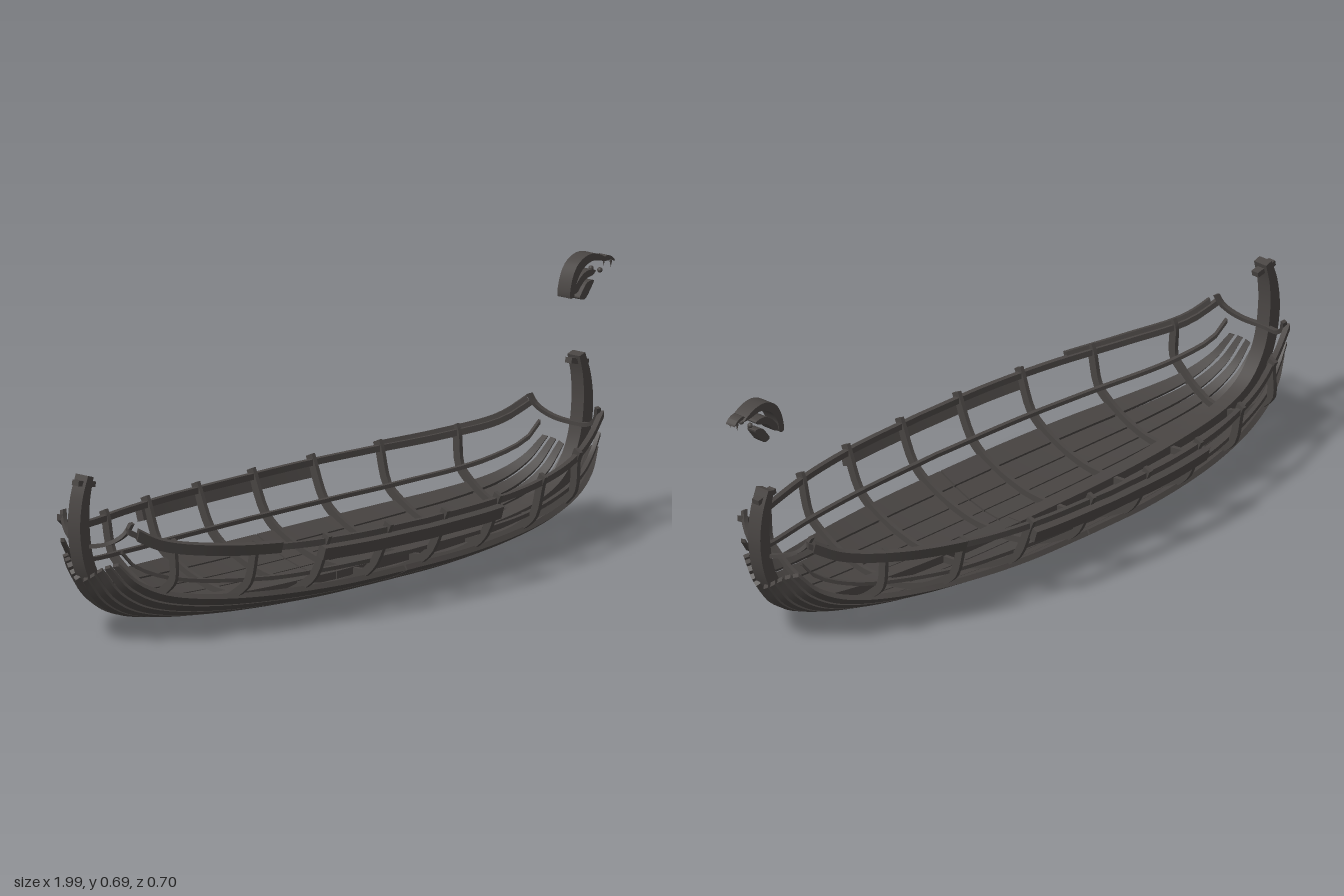
import * as THREE from 'three';
import { toCreasedNormals } from 'three/addons/utils/BufferGeometryUtils.js';

const V = (x, y, z) => new THREE.Vector3(x, y, z);
const CX = -0.04; // midship position
const wood = new THREE.MeshStandardMaterial({ color: 0x484442 });
wood.name = 'darkWood';

const curve = (pts) => new THREE.CatmullRomCurve3(pts.map((p) => V(...p)), false, 'centripetal');

// point of a curve at a given first coordinate
function atX(c, x) {
  let lo = 0, hi = 1;
  for (let i = 0; i < 30; i++) {
    const m = (lo + hi) / 2;
    if (c.getPoint(m).x < x) lo = m; else hi = m;
  }
  return c.getPoint(lo);
}

// rectangular beam along points; side(i) is the half-width vector, thick(i) the half thickness
function beam(pts, side, thick) {
  const secs = pts.map((p, i) => {
    const T = pts[Math.min(i + 1, pts.length - 1)].clone().sub(pts[Math.max(i - 1, 0)]);
    const S = side(i);
    const N = T.cross(S).normalize().multiplyScalar(thick(i));
    return [[-1, -1], [1, -1], [1, 1], [-1, 1]].map(([a, b]) =>
      p.clone().addScaledVector(S, a).addScaledVector(N, b));
  });
  const out = [];
  const quad = (a, b, c, d) => [a, b, c, a, c, d].forEach((v) => out.push(v.x, v.y, v.z));
  for (let i = 0; i < secs.length - 1; i++)
    for (let k = 0; k < 4; k++) {
      const n = (k + 1) % 4;
      quad(secs[i][k], secs[i][n], secs[i + 1][n], secs[i + 1][k]);
    }
  const [a, b, c, d] = secs[0];
  quad(d, c, b, a);
  quad(...secs[secs.length - 1]);
  const g = new THREE.BufferGeometry();
  g.setAttribute('position', new THREE.Float32BufferAttribute(out, 3));
  return toCreasedNormals(g, 0.6);
}

// hull rule: table values per plank row, blended from midship to the tip
const ROW = {
  midZ: [0.028, 0.08, 0.13, 0.18, 0.232],
  midY: [0.01, 0.014, 0.026, 0.043, 0.07],
  tipZ: [0.015, 0.033, 0.05, 0.068, 0.085],
  tipY: [0.175, 0.185, 0.2, 0.21, 0.215],
  tipX: [0.925, 0.92, 0.912, 0.902, 0.89],
};
const blend = curve([[0, 0, 1], [0.25, 0.01, 0.975], [0.5, 0.07, 0.83], [0.7, 0.17, 0.6],
  [0.85, 0.34, 0.35], [0.94, 0.6, 0.17], [1, 1, 0]]);
function row(name, v) {
  const a = ROW[name], i = Math.max(0, Math.min(3, Math.floor(v)));
  return a[i] + (a[i + 1] - a[i]) * (v - i);
}
function hull(v, b) {
  const mix = (m, t, f) => row(m, v) + (row(t, v) - row(m, v)) * f;
  return V(row('tipX', v) * b.x, mix('midY', 'tipY', b.y), mix('tipZ', 'midZ', b.z));
}

// half curves of the rails and the keel: distance from midship, height, half breadth
const railCurve = curve([[0, 0.215, 0.325], [0.25, 0.217, 0.315], [0.45, 0.222, 0.283],
  [0.65, 0.235, 0.22], [0.8, 0.262, 0.15], [0.88, 0.305, 0.115]]);
const stringerCurve = curve([[0, 0.127, 0.268], [0.3, 0.13, 0.255], [0.5, 0.137, 0.228],
  [0.75, 0.168, 0.155], [0.85, 0.21, 0.112], [0.885, 0.25, 0.1]]);
const keelCurve = curve([[0.002, 0.018, 0], [0.3, 0.023, 0], [0.56, 0.04, 0], [0.76, 0.073, 0],
  [0.855, 0.12, 0], [0.912, 0.2, 0], [0.934, 0.3, 0], [0.929, 0.38, 0], [0.912, 0.437, 0]]);

// stretch of a rail between two x positions on one side
function along(c, x0, x1, sz, n, dy = 0, dz = 0) {
  return Array.from({ length: n + 1 }, (_, i) => {
    const x = x0 + ((x1 - x0) * i) / n;
    const p = atX(c, Math.abs(x - CX));
    return V(x, p.y + dy, sz * (p.z + dz));
  });
}

export function createModel() {
  const model = new THREE.Group();
  model.name = 'shipFrame';
  const add = (name, geo, parent = model) => {
    const m = new THREE.Mesh(geo, wood);
    m.name = name;
    parent.add(m);
    return m;
  };

  for (const sx of [-1, 1]) {
    // keel sweeping up into the stem post
    const kp = keelCurve.getPoints(48).map((p) => V(CX + sx * p.x, p.y, 0));
    add('keelAndStem', beam(kp, () => V(0, 0, 0.021), (i) => (i < 36 ? 0.018 : 0.018 - (i - 36) * 0.0006)));
    // crossbar at the top of the post
    const bar = add('stemCrossbar', new THREE.BoxGeometry(0.065, 0.014, 0.022));
    bar.position.set(CX + sx * 0.915, 0.417, 0);
    bar.rotation.z = -0.2;

    // planks, in halves that meet with a gap amidships and narrow toward the tips
    for (const sz of [-1, 1])
      for (let v = 0; v < 5; v++) {
        const N = 32, c = [], s = [];
        for (let i = 0; i <= N; i++) {
          const b = blend.getPoint(0.002 + 0.998 * (i / N));
          const w = 0.46 - 0.13 * (i / N) ** 2;
          const [lo, hi] = [v - w, v + w].map((u) => {
            const p = hull(u, b);
            return V(CX + sx * p.x, p.y, sz * p.z);
          });
          c.push(lo.clone().add(hi).multiplyScalar(0.5));
          s.push(hi.sub(lo).multiplyScalar(0.5));
        }
        add('plank', beam(c, (i) => s[i], () => 0.007));
      }

    // curved brace tying the rails to the post
    const brace = curve([[0.865, 0.323, 0.116], [0.875, 0.295, 0.103], [0.895, 0.268, 0.065],
      [0.915, 0.256, 0], [0.895, 0.268, -0.065], [0.875, 0.295, -0.103], [0.865, 0.323, -0.116]]);
    add('endBrace', beam(brace.getPoints(28).map((p) => V(CX + sx * p.x, p.y, p.z)),
      () => V(0.007, 0, 0), () => 0.005));
  }

  // ribs
  for (let k = 0; k < 8; k++) {
    const x = -0.805 + 0.208 * k, d = Math.abs(x - CX);
    const half = [];
    const r = atX(railCurve, d), st = atX(stringerCurve, d);
    half.push([x, r.y + 0.018, r.z + 0.008], [x, r.y, r.z], [x, st.y, st.z + 0.018]);
    for (const v of [4.2, 3, 2, 1, 0]) {
      const p = hull(v, atX(blend, d / row('tipX', v)));
      half.push([x, p.y + 0.014, p.z]);
    }
    const pts = [...half, ...half.map(([a, b, c]) => [a, b, -c]).reverse()];
    add('rib', beam(curve(pts).getPoints(60), () => V(0.006, 0, 0), () => 0.011));
  }

  // rails, stringers and boards
  for (const sz of [-1, 1]) {
    add('topRail', beam(along(railCurve, CX - 0.88, CX + 0.88, sz, 60), () => V(0, 0.008, 0), () => 0.007));
    add('stringer', beam(along(stringerCurve, CX - 0.885, CX + 0.885, sz, 60),
      () => V(0, 0.005, 0), () => 0.006));
    add('middleBoard', beam(along(railCurve, -0.41, 0.235, sz, 20, -0.026, 0.011),
      () => V(0, 0.016, sz * 0.005), () => 0.01));
    const [x0, x1] = sz > 0 ? [-0.9, -0.53] : [0.44, 0.83];
    add('endBoard', beam(along(railCurve, x0, x1, sz, 20, 0.002, 0.008),
      () => V(0, 0.014, sz * 0.004), () => 0.008));
  }

  // carved head floating above the bow
  const head = new THREE.Group();
  head.name = 'carvedHead';
  model.add(head);
  const carve = (name, outline, depth) => {
    const s = new THREE.Shape();
    s.setFromPoints(new THREE.CatmullRomCurve3(outline.map(([x, y]) => V(x, y, 0)), true, 'centripetal')
      .getPoints(40).map((p) => new THREE.Vector2(p.x, p.y)));
    const g = new THREE.ExtrudeGeometry(s, { depth, bevelEnabled: false });
    g.translate(0, 0, -depth / 2);
    add(name, toCreasedNormals(g, 0.6), head);
  };
  carve('crest', [[0.827, 0.588], [0.832, 0.63], [0.855, 0.67], [0.895, 0.689], [0.935, 0.684],
    [0.972, 0.662], [0.95, 0.664], [0.91, 0.671], [0.873, 0.655], [0.848, 0.62], [0.84, 0.59]], 0.043);
  carve('jaw', [[0.84, 0.598], [0.865, 0.632], [0.895, 0.648], [0.925, 0.643], [0.915, 0.634],
    [0.89, 0.628], [0.87, 0.612], [0.855, 0.597]], 0.036);
  carve('tongue', [[0.87, 0.58], [0.88, 0.597], [0.898, 0.616], [0.922, 0.618], [0.91, 0.598], [0.888, 0.575]], 0.028);
  carve('snout', [[0.96, 0.668], [0.985, 0.662], [1.0, 0.655], [0.99, 0.667], [0.97, 0.674]], 0.03);
  for (const sz of [-1, 1]) {
    const eye = add('eye', new THREE.SphereGeometry(0.007, 12, 8), head);
    eye.position.set(0.943, 0.641, sz * 0.015);
    const fang = add('fang', new THREE.ConeGeometry(0.004, 0.02, 8), head);
    fang.position.set(0.987, 0.65, sz * 0.012);
    fang.rotation.z = Math.PI;
  }
  return model;
}
